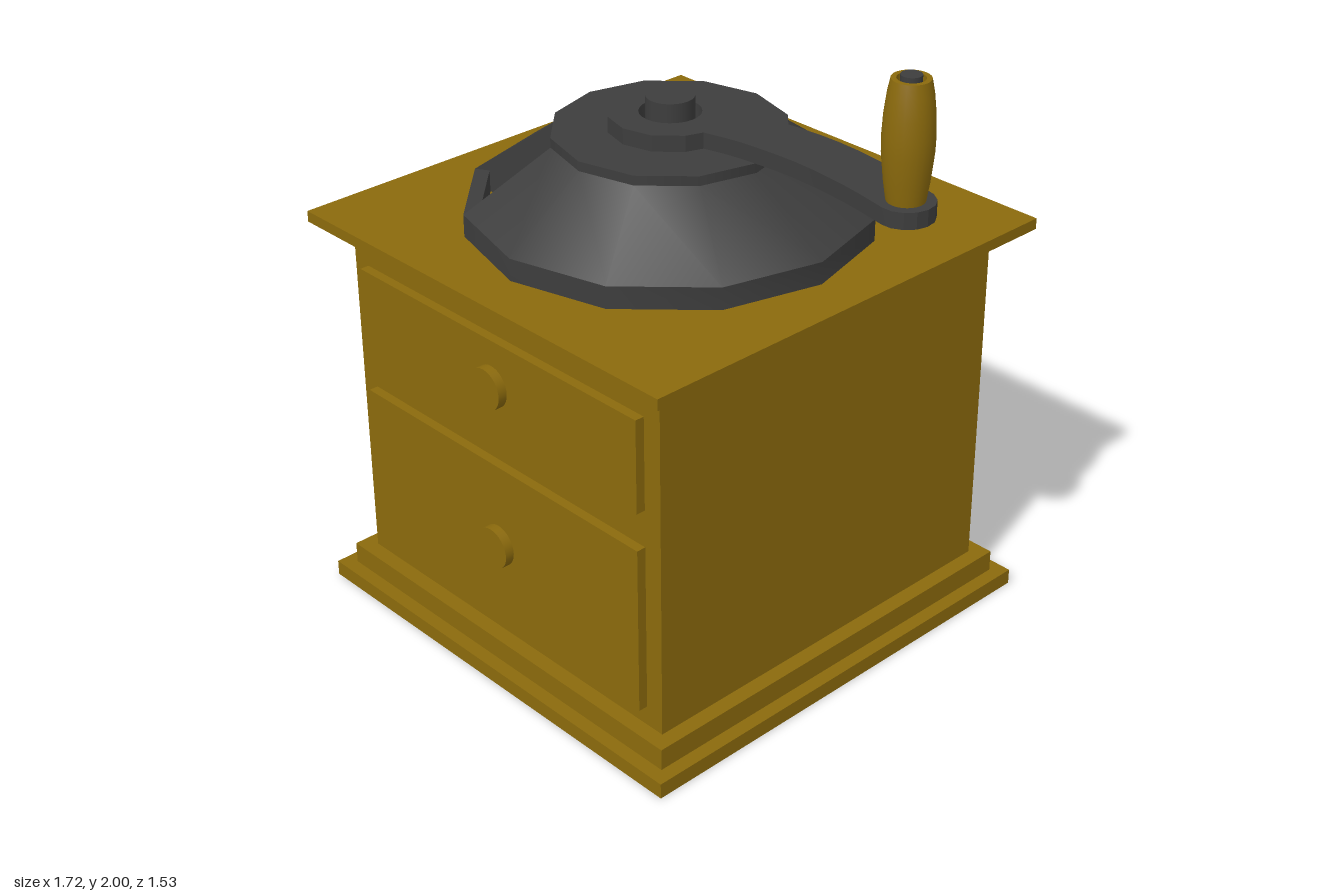
import * as THREE from 'three';
import { toCreasedNormals } from 'three/addons/utils/BufferGeometryUtils.js';

const wood = new THREE.MeshStandardMaterial({ color: 0x8b6a0c });
const iron = new THREE.MeshStandardMaterial({ color: 0x3d3d3d });
const ironSheet = new THREE.MeshStandardMaterial({ color: 0x3d3d3d, side: THREE.DoubleSide });
const rad = THREE.MathUtils.degToRad;
const vectors = (pairs) => pairs.map(([x, y]) => new THREE.Vector2(x, y));

export function createModel() {
  const model = new THREE.Group();
  model.name = 'coffeeMill';
  model.position.x = -0.1;
  const root = new THREE.Group();
  root.add(model);

  const add = (name, geometry, material, x = 0, y = 0, z = 0) => {
    const mesh = new THREE.Mesh(geometry, material);
    mesh.name = name;
    mesh.position.set(x, y, z);
    model.add(mesh);
    return mesh;
  };
  const slab = (name, width, y0, y1) =>
    add(name, new THREE.BoxGeometry(width, y1 - y0, width), wood, 0, (y0 + y1) / 2, 0);
  const lathe = (pairs, segments, start = 0, length = 360) => toCreasedNormals(
    new THREE.LatheGeometry(vectors(pairs), segments, rad(start), rad(length)), 0.7);

  // Wooden case: stepped plinth, body, flared moulding and table
  slab('plinth', 1.53, 0, 0.05);
  slab('plinthStep', 1.44, 0.05, 0.12);
  slab('body', 1.34, 0.12, 1.21);
  const flare = new THREE.CylinderGeometry(0.735 * Math.SQRT2, 0.67 * Math.SQRT2, 0.06, 4);
  flare.rotateY(Math.PI / 4);
  add('moulding', toCreasedNormals(flare, 0.5), wood, 0, 1.24, 0);
  slab('tableTop', 1.53, 1.27, 1.305);

  // Drawer fronts with round knobs
  for (const [name, y0, y1, knobY] of [['lowerDrawer', 0.185, 0.73, 0.457], ['upperDrawer', 0.85, 1.147, 0.998]]) {
    add(name, new THREE.BoxGeometry(1.215, y1 - y0, 0.04), wood, 0, (y0 + y1) / 2, 0.68);
    const knob = new THREE.CylinderGeometry(0.066, 0.066, 0.035, 32);
    knob.rotateX(Math.PI / 2);
    add(name + 'Knob', knob, wood, 0, knobY, 0.712);
  }

  // Twelve-sided hopper dome with one panel left open for filling
  add('dome', lathe([[0.617, 1.305], [0.617, 1.375], [0.355, 1.56]], 11, 330, 330), iron);
  add('domeLid', new THREE.CylinderGeometry(0.355, 0.355, 0.03, 12), iron, 0, 1.575, 0);
  add('fillingRim', lathe([[0.617, 1.305], [0.617, 1.375], [0.57, 1.375], [0.57, 1.305]], 1, 300, 30), ironSheet);
  add('fillingBack', lathe([[0.45, 1.305], [0.355, 1.56]], 1, 300, 30), ironSheet);
  const cheek = new THREE.ShapeGeometry(new THREE.Shape(
    vectors([[0.45, 1.305], [0.617, 1.305], [0.617, 1.375], [0.355, 1.56]])));
  for (const angle of [300, 330]) {
    add('fillingCheek', cheek, ironSheet).rotation.y = rad(angle - 90);
  }

  // Curved crank arm: hub ring, swept edges and rounded tip
  const arc = (cx, cy, r, from, to, step) => {
    const points = [];
    for (let a = from; a <= to; a += step) {
      points.push(new THREE.Vector2(cx + r * Math.cos(rad(a)), cy + r * Math.sin(rad(a))));
    }
    return points;
  };
  const sweep = (pairs) => new THREE.SplineCurve(vectors(pairs)).getPoints(12);
  const outline = new THREE.Shape([
    ...sweep([[0.18, -0.04], [0.3, -0.012], [0.5, 0.004], [0.7, -0.01], [0.86, -0.038]]),
    ...arc(0.87, 0.045, 0.085, -75, 70, 24),
    ...sweep([[0.89, 0.126], [0.8, 0.15], [0.65, 0.178], [0.48, 0.19], [0.3, 0.175], [0.13, 0.135]]),
    ...arc(0, 0, 0.186, 60, 330, 30),
  ]);
  outline.holes.push(new THREE.Path(arc(0, 0, 0.093, 0, 345, 15).reverse()));
  const arm = new THREE.ExtrudeGeometry(outline, { depth: 0.05, bevelEnabled: false });
  arm.rotateX(-Math.PI / 2);
  add('crankArm', toCreasedNormals(arm, 0.4), iron, 0, 1.59, 0);
  add('shaft', new THREE.CylinderGeometry(0.073, 0.073, 0.1, 24), iron, 0, 1.64, 0);

  // Barrel grip, recessed on top around its pin
  const grip = lathe([[0, 1.64], [0.055, 1.64], [0.064, 1.7], [0.072, 1.78], [0.073, 1.83], [0.07, 1.89],
    [0.063, 1.95], [0.055, 1.99], [0.04, 1.99], [0.04, 1.93], [0, 1.93]], 24);
  add('grip', grip, wood, 0.87, 0, -0.045);
  add('gripPin', new THREE.CylinderGeometry(0.03, 0.03, 0.37, 20), iron, 0.87, 1.815, -0.045);

  return root;
}
